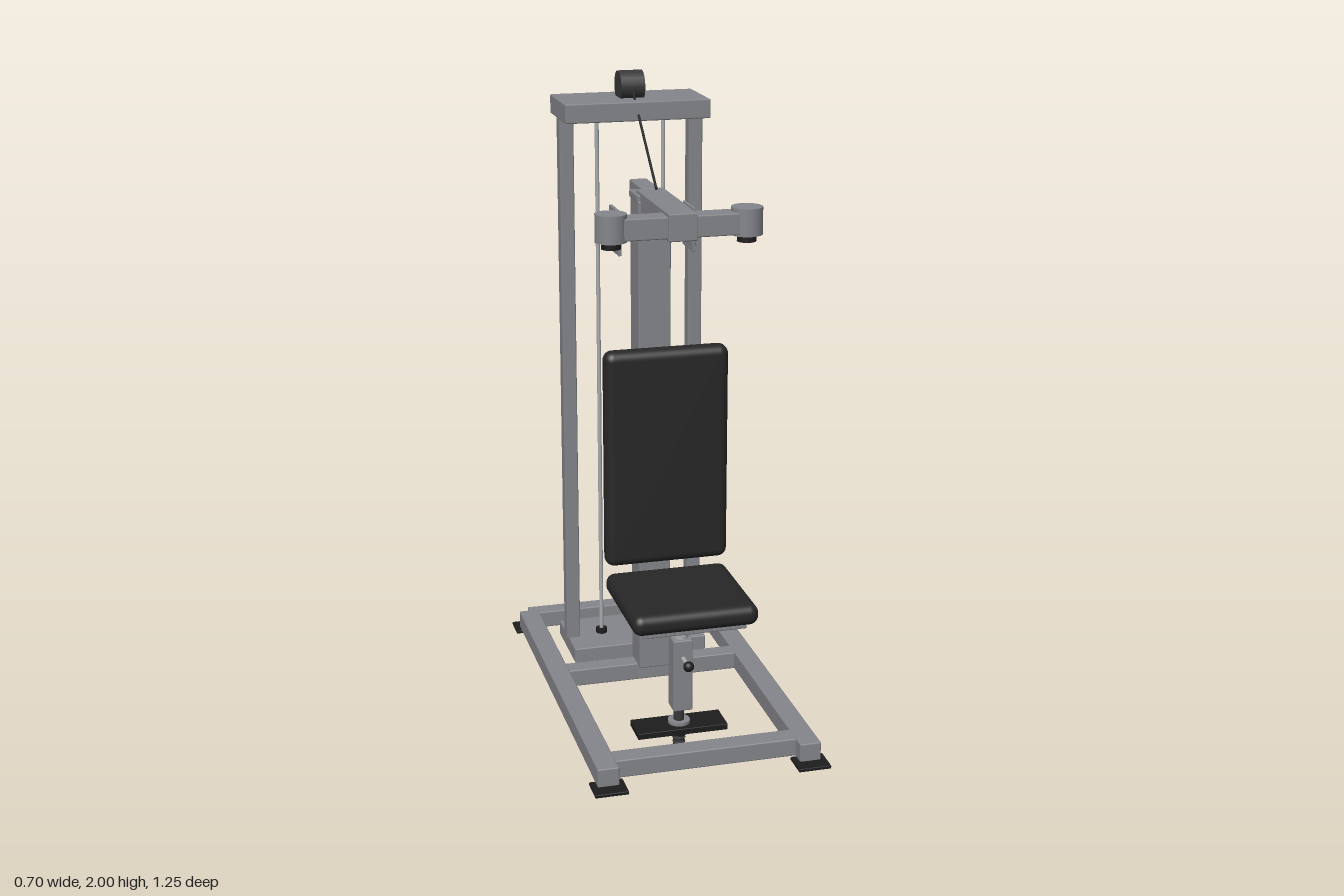
import * as THREE from 'three';
import { RoundedBoxGeometry } from 'three/addons/geometries/RoundedBoxGeometry.js';

const mat = (name, color) => {
  const m = new THREE.MeshStandardMaterial({ color });
  m.name = name;
  return m;
};

export function createModel() {
  const model = new THREE.Group();
  model.name = 'shoulderPressMachine';
  const frame = mat('frameGrey', 0x85868b);
  const steel = mat('lightSteel', 0xa9abae);
  const pad = mat('padBlack', 0x272728);
  const rubber = mat('rubberBlack', 0x1d1d1e);
  const dark = mat('darkMetal', 0x38383a);

  const add = (name, geometry, material, x = 0, y = 0, z = 0) => {
    const mesh = new THREE.Mesh(geometry, material);
    mesh.name = name;
    mesh.position.set(x, y, z);
    model.add(mesh);
    return mesh;
  };
  // Box given by its limits on each axis, with a small rounded edge
  const box = (name, material, [x0, x1], [y0, y1], [z0, z1], r = 0.004, seg = 1) =>
    add(name, new RoundedBoxGeometry(x1 - x0, y1 - y0, z1 - z0, seg, r), material,
      (x0 + x1) / 2, (y0 + y1) / 2, (z0 + z1) / 2);
  // Rod between two points
  const rod = (name, material, a, b, r, sides = 16) => {
    const p = new THREE.Vector3(...a), q = new THREE.Vector3(...b);
    const d = q.clone().sub(p);
    const mid = p.clone().add(q).multiplyScalar(0.5);
    const mesh = add(name, new THREE.CylinderGeometry(r, r, d.length(), sides), material, mid.x, mid.y, mid.z);
    mesh.quaternion.setFromUnitVectors(new THREE.Vector3(0, 1, 0), d.normalize());
    return mesh;
  };
  const span = (h) => [-h, h];
  const side = (s, a, b) => (s > 0 ? [a, b] : [-b, -a]);

  // Base frame
  const baseY = [0.115, 0.17];
  box('frontCrossBeam', frame, span(0.275), baseY, [0.47, 0.535]);
  box('middleCrossBeam', frame, span(0.275), baseY, [-0.145, -0.085]);
  box('rearCrossBeam', frame, span(0.3), baseY, [-0.618, -0.56]);
  box('rearBasePlate', frame, span(0.218), [0.12, 0.17], [-0.48, -0.24]);

  for (const s of [-1, 1]) {
    box('sideRail', frame, side(s, 0.27, 0.334), [0.114, 0.172], [-0.585, 0.578]);
    box('frontFoot', rubber, side(s, 0.253, 0.351), [0.107, 0.117], [0.54, 0.622], 0.002);
    box('rearFoot', rubber, side(s, 0.253, 0.351), [0.107, 0.117], [-0.627, -0.547], 0.002);

    // Rear tower
    box('towerColumn', frame, side(s, 0.18, 0.224), [0.165, 1.87], [-0.377, -0.333]);
    rod('guideRod', steel, [s * 0.104, 0.165, -0.355], [s * 0.104, 1.87, -0.355], 0.0065, 12);
    rod('guideCollar', rubber, [s * 0.104, 0.168, -0.355], [s * 0.104, 0.186, -0.355], 0.018);

    // Press arm ends and side plates
    rod('armEnd', frame, [s * 0.198, 1.61, 0.216], [s * 0.198, 1.69, 0.216], 0.046, 16);
    rod('armEndGrip', rubber, [s * 0.198, 1.59, 0.216], [s * 0.198, 1.612, 0.216], 0.028);
    box('pivotSidePlate', frame, side(s, 0.108, 0.118), [1.508, 1.64], [-0.141, -0.028], 0.002);
  }
  box('towerTop', frame, span(0.224), [1.865, 1.923], [-0.466, -0.245]);

  // Pulley and cable
  rod('pulley', dark, [-0.037, 1.957, -0.355], [0.037, 1.957, -0.355], 0.046, 20);
  rod('cable', rubber, [0, 1.94, -0.312], [0, 1.7, -0.038], 0.004, 8);

  // Main post and press arm
  box('mainPost', frame, span(0.05), [0.165, 1.66], [-0.157, -0.057]);
  box('postCap', frame, span(0.051), [1.655, 1.678], [-0.166, -0.064]);
  box('rearArm', frame, span(0.027), [1.635, 1.69], [-0.258, -0.1]);
  box('forwardArm', frame, span(0.042), [1.608, 1.688], [-0.115, 0.26]);
  box('armCrossBar', frame, span(0.185), [1.615, 1.678], [0.18, 0.25]);

  // Backrest
  box('backPad', pad, span(0.189), [0.58, 1.25], [0.036, 0.1], 0.028, 4);
  box('backPadPlate', frame, span(0.14), [0.637, 1.195], [0.014, 0.038]);
  for (const y of [0.69, 1.14]) rod('backPadMount', frame, [0, y, -0.06], [0, y, 0.02], 0.023);

  // Seat
  box('seatPad', pad, span(0.189), [0.493, 0.556], [0.06, 0.432], 0.028, 4);
  box('seatPlate', frame, span(0.155), [0.48, 0.497], [0.085, 0.41]);
  rod('seatStem', steel, [0, 0.38, 0.246], [0, 0.482, 0.246], 0.022);
  box('seatSleeve', frame, span(0.03), [0.17, 0.4], [0.216, 0.276]);
  rod('pinStem', steel, [0, 0.343, 0.27], [0, 0.343, 0.33], 0.007, 12);
  add('pinKnob', new THREE.SphereGeometry(0.016, 16, 12), rubber, 0, 0.343, 0.335);

  // Threaded spindle and its foot plate
  box('spindlePlate', rubber, span(0.14), [0.093, 0.112], [0.178, 0.28], 0.002);
  rod('spindleWasher', frame, [0, 0.11, 0.228], [0, 0.122, 0.228], 0.034);
  rod('spindle', dark, [0, 0, 0.228], [0, 0.21, 0.228], 0.016);
  rod('spindleNut', rubber, [0, 0.076, 0.228], [0, 0.094, 0.228], 0.03, 6);
  for (let i = 0; i < 5; i++) {
    const thread = add('spindleThread', new THREE.TorusGeometry(0.016, 0.004, 6, 20), dark, 0, 0.006 + i * 0.014, 0.228);
    thread.rotation.x = Math.PI / 2;
  }
  return model;
}
